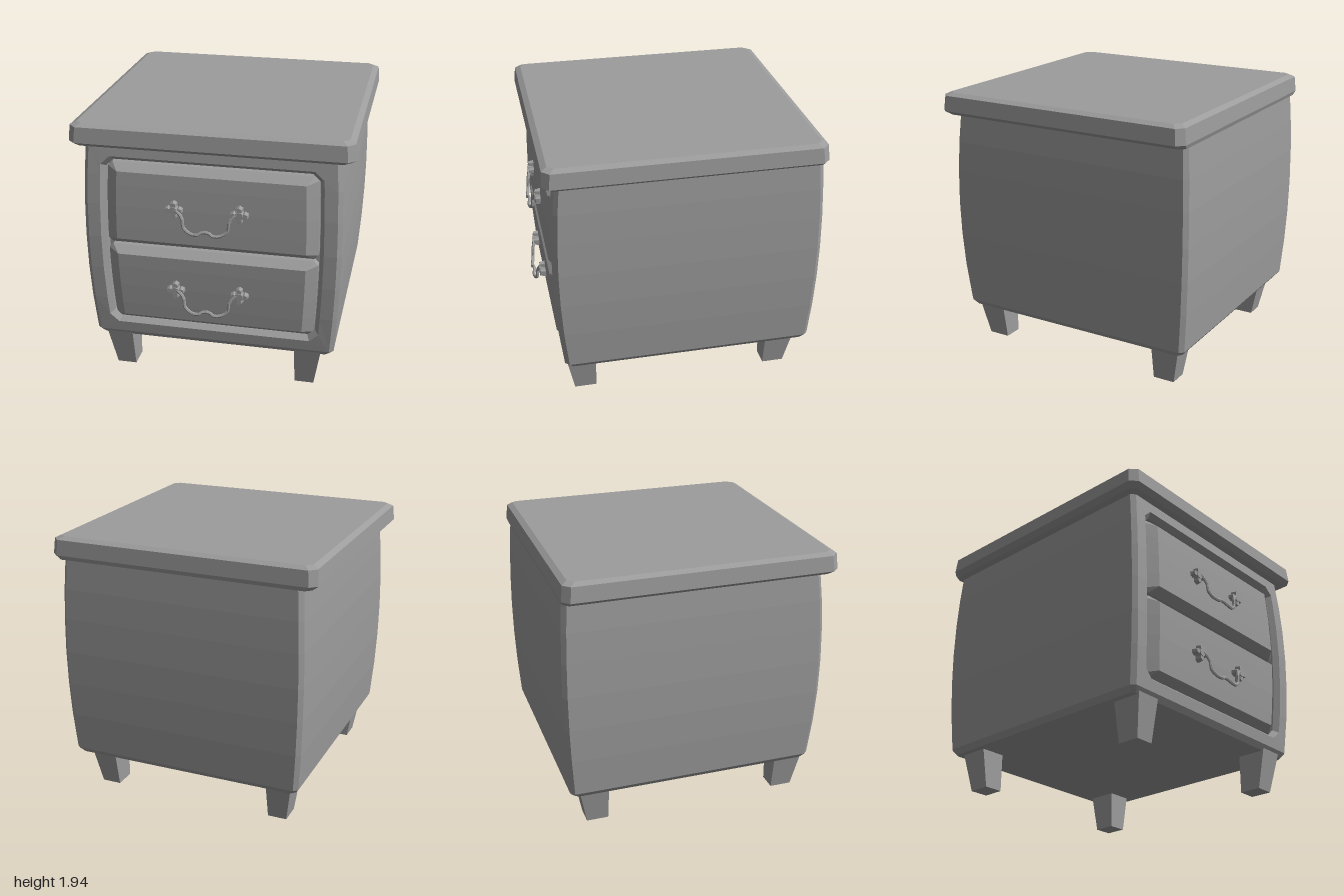
import * as THREE from 'three';

const grey = () => new THREE.MeshStandardMaterial({ color: 0x9c9c9c, flatShading: true });
const LEVELS = [0.32, 0.6, 0.85, 1.1, 1.35, 1.57, 1.79];

// Outward swelling of the cabinet walls at a given height
const bulge = (y) => 0.03 * (1 - ((y - 1.1) / 0.75) ** 2);
const frontZ = (y) => 0.87 + 1.5 * bulge(y);
const backZ = (y) => -0.97 - bulge(y);

// Closed loop from its +x half: the other half is mirrored in reverse order
const mirrorLoop = (half) => [...half, ...half.map(([x, y, z]) => [-x, y, z]).reverse()];

// Flat-faced skin through equal-length loops, with optional caps
function loft(loops, { capStart = false, capEnd = false, open = false } = {}) {
  const pos = [];
  const quad = (a, b, c, d) => pos.push(...a, ...b, ...c, ...a, ...c, ...d);
  const n = loops[0].length;
  for (let k = 0; k < loops.length - 1; k++) {
    const a = loops[k], b = loops[k + 1];
    for (let i = 0; i < (open ? n - 1 : n); i++) {
      const j = (i + 1) % n;
      quad(a[i], a[j], b[j], b[i]);
    }
  }
  const cap = (p, flip) => {
    for (let i = 0; i < n / 2 - 1; i++) {
      const q = [p[n - 1 - i], p[i], p[i + 1], p[n - 2 - i]];
      quad(...(flip ? q.reverse() : q));
    }
  };
  if (capStart) cap(loops[0], true);
  if (capEnd) cap(loops[loops.length - 1], false);
  const g = new THREE.BufferGeometry();
  g.setAttribute('position', new THREE.Float32BufferAttribute(pos, 3));
  g.computeVertexNormals();
  return g;
}

// Horizontal rectangle with chamfered corners
const slabLoop = (w, y, zf, zb, c) =>
  mirrorLoop([[w - c, y, zf], [w, y, zf - c], [w, y, zb + c], [w - c, y, zb]]);

// Upright rectangle that follows the swelling front
function frontLoop(w, y0, y1, cut, dz, sideLevels) {
  const point = (y, inset = 0) => [w + bulge(y) - inset, y, frontZ(y) + dz];
  return mirrorLoop([
    point(y0, cut), point(y0 + cut),
    ...sideLevels.map((y) => point(y)),
    point(y1 - cut), point(y1, cut),
  ]);
}

function add(parent, name, geometry) {
  const mesh = new THREE.Mesh(geometry, grey());
  mesh.name = name;
  parent.add(mesh);
  return mesh;
}

function makeDrawer(y0, y1) {
  const levels = [0.25, 0.5, 0.75].map((t) => y0 + (y1 - y0) * t);
  return loft([
    frontLoop(0.72, y0, y1, 0.03, -0.1, levels),
    frontLoop(0.72, y0, y1, 0.03, -0.05, levels),
    frontLoop(0.64, y0 + 0.05, y1 - 0.05, 0, 0.01, levels),
  ], { capEnd: true });
}

function makeHandle() {
  const handle = new THREE.Group();
  // Swinging bail
  const half = [[0.22, 0.01, 0.95], [0.18, -0.02, 0.96], [0.16, -0.06, 0.97], [0.16, -0.1, 0.97],
    [0.12, -0.14, 0.98], [0.06, -0.15, 0.99], [0.02, -0.13, 0.98]];
  const path = mirrorLoop(half).map((p) => new THREE.Vector3(...p));
  add(handle, 'bail', new THREE.TubeGeometry(new THREE.CatmullRomCurve3(path), 22, 0.012, 6));
  // Four-lobed mounts
  for (const s of [-1, 1]) {
    const mount = new THREE.Group();
    mount.name = s > 0 ? 'leftMount' : 'rightMount';
    mount.position.set(s * 0.23, 0, 0.93);
    add(mount, 'mountCore', new THREE.CylinderGeometry(0.03, 0.04, 0.06, 8)).rotation.x = Math.PI / 2;
    for (let i = 0; i < 4; i++) {
      const a = i * Math.PI / 2;
      const lobe = add(mount, 'mountLobe', new THREE.CylinderGeometry(0.02, 0.03, 0.05, 6));
      lobe.rotation.x = Math.PI / 2;
      lobe.position.set(0.04 * Math.cos(a), 0.04 * Math.sin(a), 0);
    }
    handle.add(mount);
  }
  return handle;
}

// Leg with vertical inner faces and tapering outer faces
function makeLeg(sx, sz) {
  const g = new THREE.BoxGeometry(0.19, 0.3, 0.22);
  const p = g.attributes.position;
  for (let i = 0; i < p.count; i++) {
    if (p.getY(i) > 0) continue;
    if (p.getX(i) * sx > 0) p.setX(i, p.getX(i) - sx * 0.05);
    if (p.getZ(i) * sz > 0) p.setZ(i, p.getZ(i) - sz * 0.06);
  }
  g.computeVertexNormals();
  return g;
}

export function createModel() {
  const model = new THREE.Group();
  model.name = 'nightstand';

  // Cabinet walls, open at the front
  const wall = (y) => slabLoop(0.88 + bulge(y), y, frontZ(y), backZ(y), 0.03);
  add(model, 'cabinetWalls', loft(LEVELS.map(wall), { open: true }));

  // Bevelled cabinet base
  const y0 = LEVELS[0];
  const base = slabLoop(0.85 + bulge(y0), 0.28, frontZ(y0) - 0.03, backZ(y0) + 0.03, 0.03);
  add(model, 'cabinetBase', loft([base, wall(y0)], { capStart: true }));

  // Front frame with bevelled recess
  const mid = LEVELS.slice(1, -1);
  add(model, 'frontFrame', loft([
    frontLoop(0.85, 0.32, 1.79, 0, 0, mid),
    frontLoop(0.76, 0.4, 1.7, 0.06, 0, mid),
    frontLoop(0.73, 0.43, 1.67, 0.05, -0.04, mid),
    frontLoop(0.73, 0.43, 1.67, 0.05, -0.1, mid),
  ], { capEnd: true }));

  // Top board, its underside reaching the back wall
  add(model, 'topBoard', loft([
    slabLoop(0.94, 1.78, 0.93, -0.98, 0.04),
    slabLoop(0.98, 1.81, 0.97, -0.99, 0.05),
    slabLoop(0.97, 1.92, 0.96, -0.98, 0.05),
    slabLoop(0.93, 1.94, 0.92, -0.94, 0.04),
  ], { capStart: true, capEnd: true }));

  // Drawers and their handles
  for (const [name, low, high, handleY] of [['upper', 1.05, 1.65, 1.36], ['lower', 0.43, 1.03, 0.74]]) {
    add(model, name + 'Drawer', makeDrawer(low, high));
    const handle = makeHandle();
    handle.name = name + 'Handle';
    handle.position.set(-0.02, handleY, 0);
    model.add(handle);
  }

  // Legs
  for (const sx of [-1, 1]) for (const sz of [-1, 1]) {
    const name = (sz > 0 ? 'front' : 'back') + (sx > 0 ? 'Left' : 'Right') + 'Leg';
    add(model, name, makeLeg(sx, sz)).position.set(sx * 0.7 - 0.01, 0.15, sz * 0.76 - 0.02);
  }
  return model;
}
